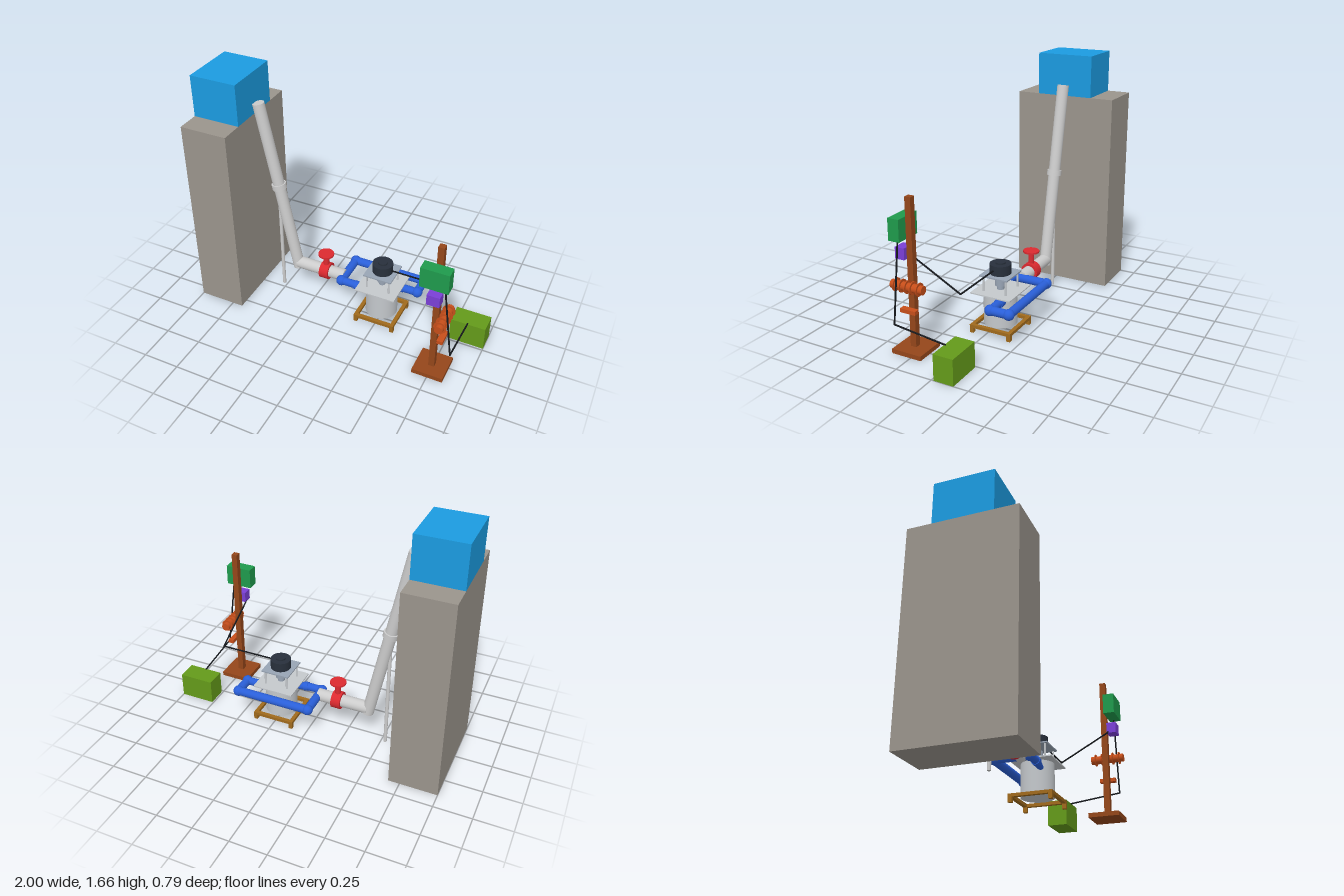
import * as THREE from 'three';

const mat = (color) => new THREE.MeshStandardMaterial({ color });
const M = {
  stone: mat(0x9a948c), water: mat(0x1b9be0), pipe: mat(0xd4d4d6), red: mat(0xdc2a30), blue: mat(0x2a5fd8),
  steel: mat(0xc4c8cc), shaft: mat(0x98a4b4), dark: mat(0x28303c), wood: mat(0x94461a), frame: mat(0xa06a1c),
  green: mat(0x1f9a4c), violet: mat(0x7a3fd6), lime: mat(0x649a1a), orange: mat(0xc64e1a), wire: mat(0x15181c),
};
const V = (x, y, z) => new THREE.Vector3(x, y, z);

export function createModel() {
  const root = new THREE.Group();
  const add = (name, geo, m, parent = root) => {
    const mesh = new THREE.Mesh(geo, m);
    mesh.name = name;
    parent.add(mesh);
    return mesh;
  };
  const group = (name) => {
    const g = new THREE.Group();
    g.name = name;
    root.add(g);
    return g;
  };
  // box given by its extents on each axis
  const box = (name, [x0, x1], [y0, y1], [z0, z1], m, parent) => {
    const mesh = add(name, new THREE.BoxGeometry(x1 - x0, y1 - y0, z1 - z0), m, parent);
    mesh.position.set((x0 + x1) / 2, (y0 + y1) / 2, (z0 + z1) / 2);
    return mesh;
  };
  // cylinder or cone between two points
  const rod = (name, a, b, r, m, parent, r2 = r, seg = 28) => {
    const d = b.clone().sub(a);
    const mesh = add(name, new THREE.CylinderGeometry(r2, r, d.length(), seg), m, parent);
    mesh.position.copy(a).addScaledVector(d, 0.5);
    mesh.quaternion.setFromUnitVectors(V(0, 1, 0), d.normalize());
    return mesh;
  };
  const ball = (name, p, r, m, parent) =>
    add(name, new THREE.SphereGeometry(r, 24, 16), m, parent).position.copy(p);

  // Tower and water tank
  box('tower', [-1, -0.675], [0, 1.375], [-0.395, 0.315], M.stone);
  box('waterTank', [-1, -0.675], [1.375, 1.66], [-0.235, 0.16], M.water);

  // Feed pipe, its collar, support post and horizontal run
  const zp = -0.042;
  const feed = group('feedPipe');
  const top = V(-0.645, 1.455, zp), low = V(-0.395, 0.207, zp);
  rod('slopingPipe', low, top, 0.04, M.pipe, feed);
  const at = (t) => low.clone().lerp(top, t);
  rod('pipeCollar', at(0.505), at(0.535), 0.05, M.pipe, feed);
  rod('pipeSupport', V(-0.527, 0, zp), V(-0.527, 0.84, zp), 0.012, M.pipe, feed);
  rod('horizontalPipe', V(-0.395, 0.243, zp), V(-0.035, 0.243, zp), 0.043, M.pipe, feed);

  // Gate valve
  const valve = group('valve');
  rod('valveBody', V(-0.21, 0.243, zp), V(-0.145, 0.243, zp), 0.06, M.red, valve);
  rod('valveStem', V(-0.177, 0.25, zp), V(-0.177, 0.385, zp), 0.02, M.red, valve);
  rod('handWheel', V(-0.177, 0.38, zp), V(-0.177, 0.392, zp), 0.055, M.red, valve);

  // Distribution pipes looping round the turbine
  const loop = group('distributionPipes');
  const yb = 0.241;
  const path = [V(-0.035, yb, 0.012), V(-0.035, yb, -0.228), V(0.485, yb, -0.228), V(0.485, yb, -0.097)];
  path.forEach((p, i) => {
    ball('elbow', p, 0.036, M.blue, loop);
    if (i) rod('pipe', path[i - 1], p, 0.029, M.blue, loop);
  });
  // nozzles, one on each side of the housing
  for (const [p, s] of [[path[0], 1], [path[3], -1]]) {
    const off = (dx, y) => V(p.x + s * dx, y, p.z);
    rod('nozzlePipe', p, off(0.11, yb), 0.027, M.blue, loop);
    rod('nozzleFlange', off(0.1, yb), off(0.13, yb - 0.004), 0.031, M.blue, loop);
    rod('nozzleTip', off(0.125, yb - 0.003), off(0.22, 0.215), 0.028, M.blue, loop, 0.016);
  }

  // Turbine on a low four-legged frame
  const turbine = group('turbine');
  turbine.position.set(0.25, 0, -0.04);
  const h = 0.147, w = 0.026;
  for (const s of [-1, 1]) {
    const edge = s < 0 ? [-h, -h + w] : [h - w, h];
    box('frameBar', [-h, h], [0.034, 0.055], edge, M.frame, turbine);
    box('frameCrossBar', edge, [0.034, 0.055], [-h + w, h - w], M.frame, turbine);
    for (const t of [-1, 1]) {
      box('frameLeg', edge, [0, 0.034], t < 0 ? [-h, -h + w] : [h - w, h], M.frame, turbine);
      rod('plateRod', V(s * 0.08, 0.28, t * 0.08), V(s * 0.08, 0.385, t * 0.08), 0.006, M.steel, turbine, 0.006, 12);
    }
  }
  rod('housing', V(0, 0.05, 0), V(0, 0.273, 0), 0.11, M.steel, turbine, 0.11, 40);
  box('lowerPlate', [-0.143, 0.143], [0.272, 0.28], [-0.143, 0.143], M.steel, turbine);
  box('upperPlate', [-0.1, 0.1], [0.382, 0.391], [-0.1, 0.1], M.shaft, turbine);
  rod('shaft', V(0, 0.27, 0), V(0, 0.395, 0), 0.024, M.shaft, turbine);
  rod('coupling', V(0, 0.308, 0), V(0, 0.36, 0), 0.037, M.shaft, turbine);
  rod('generator', V(0, 0.391, 0), V(0, 0.457, 0), 0.07, M.dark, turbine);
  rod('generatorCap', V(0, 0.455, 0), V(0, 0.468, 0), 0.033, M.dark, turbine);

  // Control post with boxes and coil
  const post = group('controlPost');
  box('postBase', [0.645, 0.855], [0, 0.03], [0.175, 0.385], M.wood, post);
  box('post', [0.73, 0.77], [0.03, 1], [0.264, 0.305], M.wood, post);
  box('controlBox', [0.655, 0.84], [0.735, 0.877], [0.305, 0.382], M.green, post);
  box('rectifierBox', [0.705, 0.79], [0.605, 0.68], [0.31, 0.376], M.violet, post);
  box('postBracket', [0.78, 0.82], [0.274, 0.299], [0.228, 0.337], M.orange, post);
  const cy = 0.445, cx = 0.803;
  rod('coilCore', V(cx, cy, 0.17), V(cx, cy, 0.397), 0.028, M.orange, post);
  for (const z of [0.2, 0.245, 0.283, 0.322, 0.367])
    rod('coilRing', V(cx, cy, z - 0.003), V(cx, cy, z + 0.003), 0.042, M.orange, post);

  // Battery
  box('battery', [0.76, 1], [0, 0.172], [-0.15, -0.015], M.lime);

  // Wires
  const wires = group('wires');
  for (const pts of [
    [V(0.29, 0.425, -0.025), V(0.705, 0.425, -0.025), V(0.705, 0.605, 0.315), V(0.72, 0.64, 0.335)],
    [V(0.805, 0.75, 0.34), V(0.876, 0.215, 0.34), V(0.876, 0.172, -0.02)],
  ]) {
    pts.forEach((p, i) => {
      if (!i) return;
      rod('wire', pts[i - 1], p, 0.0055, M.wire, wires, 0.0055, 10);
      ball('wireBend', p, 0.0055, M.wire, wires);
    });
  }
  return root;
}
